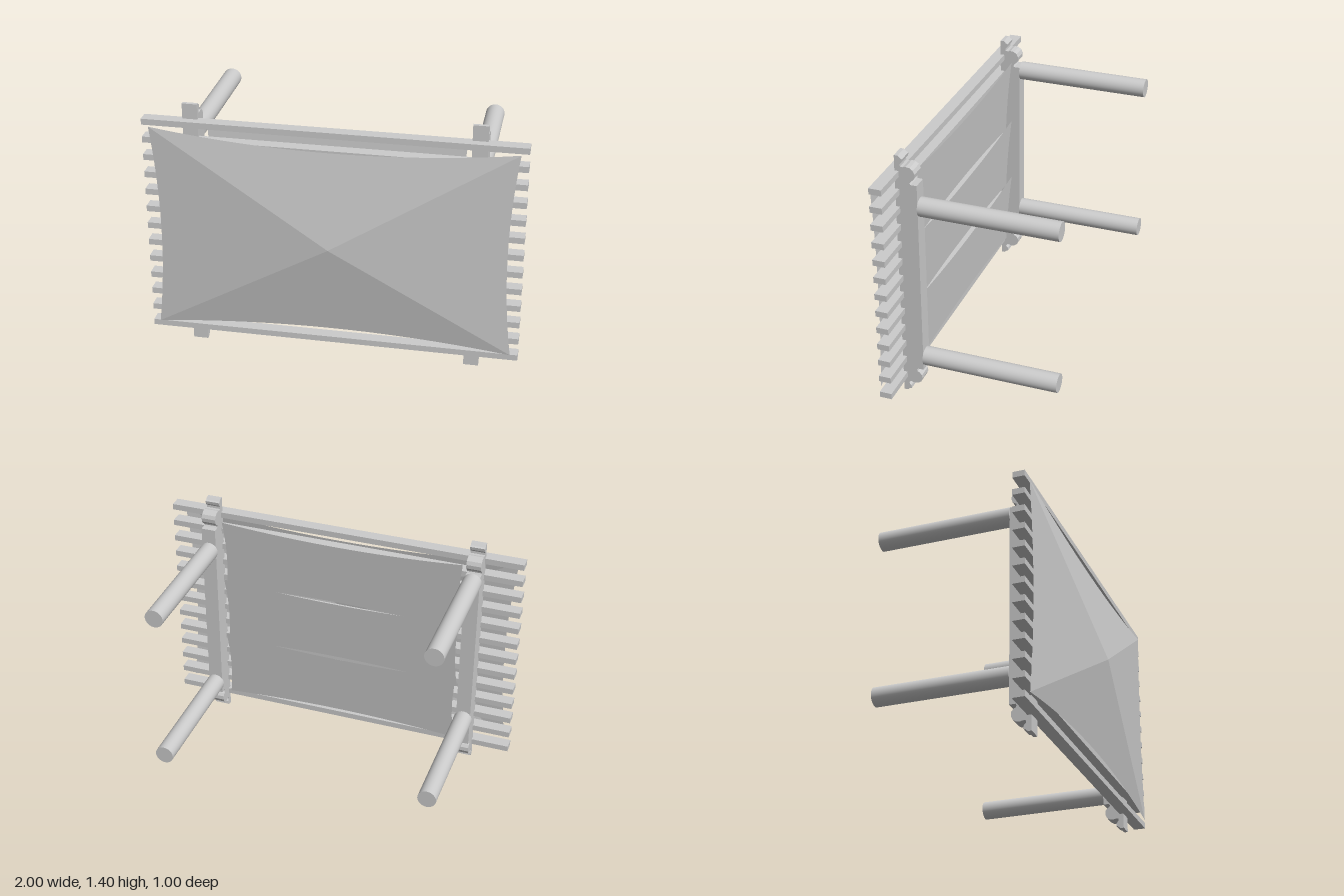
import * as THREE from 'three';

const grey = new THREE.MeshStandardMaterial({ color: 0xcccccc });
const cloth = new THREE.MeshStandardMaterial({ color: 0xcccccc, side: THREE.DoubleSide });
const MID = 0.7;

function add(parent, name, geometry, material, x = 0, y = 0, z = 0) {
  const mesh = new THREE.Mesh(geometry, material);
  mesh.name = name;
  mesh.position.set(x, y, z);
  parent.add(mesh);
  return mesh;
}

// Side beam: scrolled outline in (z, y), mirrored top to bottom
function beamGeometry(width) {
  const end = [
    [0.35, 1.4], [0.33, 1.4], [0.318, 1.388], [0.307, 1.384], [0.31, 1.367], [0.321, 1.355],
    [0.32, 1.342], [0.305, 1.341], [0.29, 1.345], [0.27, 1.342], [0.253, 1.33], [0.244, 1.31],
    [0.246, 1.288], [0.258, 1.273], [0.27, 1.268], [0.273, 1.257], [0.267, 1.249], [0.235, 1.249],
  ];
  const lower = end.map(([z, y]) => [z, 2 * MID - y]).reverse();
  const shape = new THREE.Shape([...end, ...lower].map(([z, y]) => new THREE.Vector2(z, y)));
  const g = new THREE.ExtrudeGeometry(shape, { depth: width, bevelEnabled: false });
  g.translate(0, 0, -width / 2);
  return g.rotateY(-Math.PI / 2);
}

// Four flat canopy faces meeting at a point, their outer edges curved inward
function canopyGeometry(hw, hh, rimZ, tipZ, sagX, sagY) {
  const n = 20, pos = [];
  const rim = (side, t) => {
    const s = side < 2 ? 1 : -1, u = s * (1 - 2 * t), bow = 1 - u * u;
    const f = side % 2 === 0 ? 1 - (sagX / hw) * bow : 1 - (sagY / hh) * bow;
    const x = side % 2 === 0 ? s * hw * f : u * hw;
    const y = side % 2 === 0 ? -u * hh : s * hh * f;
    return [x, MID + y, tipZ - (tipZ - rimZ) * f];
  };
  for (let side = 0; side < 4; side++) {
    for (let i = 0; i < n; i++) {
      pos.push(0, MID, tipZ, ...rim(side, i / n), ...rim(side, (i + 1) / n));
    }
  }
  const g = new THREE.BufferGeometry();
  g.setAttribute('position', new THREE.Float32BufferAttribute(pos, 3));
  g.computeVertexNormals();
  return g;
}

// Tilted shade panel with all four edges curved inward
function panelGeometry(w, bottom, top, backZ, frontZ) {
  const g = new THREE.PlaneGeometry(2, 2, 20, 8);
  const p = g.attributes.position;
  for (let i = 0; i < p.count; i++) {
    const u = p.getX(i), v = p.getY(i);
    const x = u * (w - 0.015 * (1 - v * v));
    const y = (bottom + top) / 2 + v * ((top - bottom) / 2 - 0.03 * (1 - u * u));
    const k = (y - bottom) / (top - bottom);
    p.setXYZ(i, x, y, THREE.MathUtils.lerp(frontZ, backZ, k));
  }
  g.computeVertexNormals();
  return g;
}

export function createModel() {
  const model = new THREE.Group();
  model.name = 'pergola';

  // Beams, each carried by two round posts; the posts are staggered side to side
  const beam = beamGeometry(0.08);
  const post = new THREE.CylinderGeometry(0.051, 0.051, 0.735, 32).rotateX(Math.PI / 2);
  for (const [x, heights] of [[-0.75, [0.32, 1.218]], [0.75, [0.218, 1.115]]]) {
    add(model, 'sideBeam', beam, grey, x);
    for (const y of heights) add(model, 'post', post, grey, x, y, -0.1325);
  }

  // Row of cross slats
  const slats = new THREE.Group();
  slats.name = 'slats';
  model.add(slats);
  const slat = new THREE.BoxGeometry(2, 0.033, 0.066);
  for (let i = 0; i < 13; i++) add(slats, 'slat', slat, grey, 0, 0.1 + i * 0.1, 0.361);

  // Three overlapping shade panels between the beams
  for (let i = 0; i < 3; i++) {
    const bottom = 0.12 + i * 0.3675;
    add(model, 'shadePanel', panelGeometry(0.685, bottom, bottom + 0.43, 0.275, 0.31), cloth);
  }

  // Pointed fabric canopy
  add(model, 'canopy', canopyGeometry(0.96, 0.58, 0.405, 0.5, 0.04, 0.065), cloth);
  return model;
}
